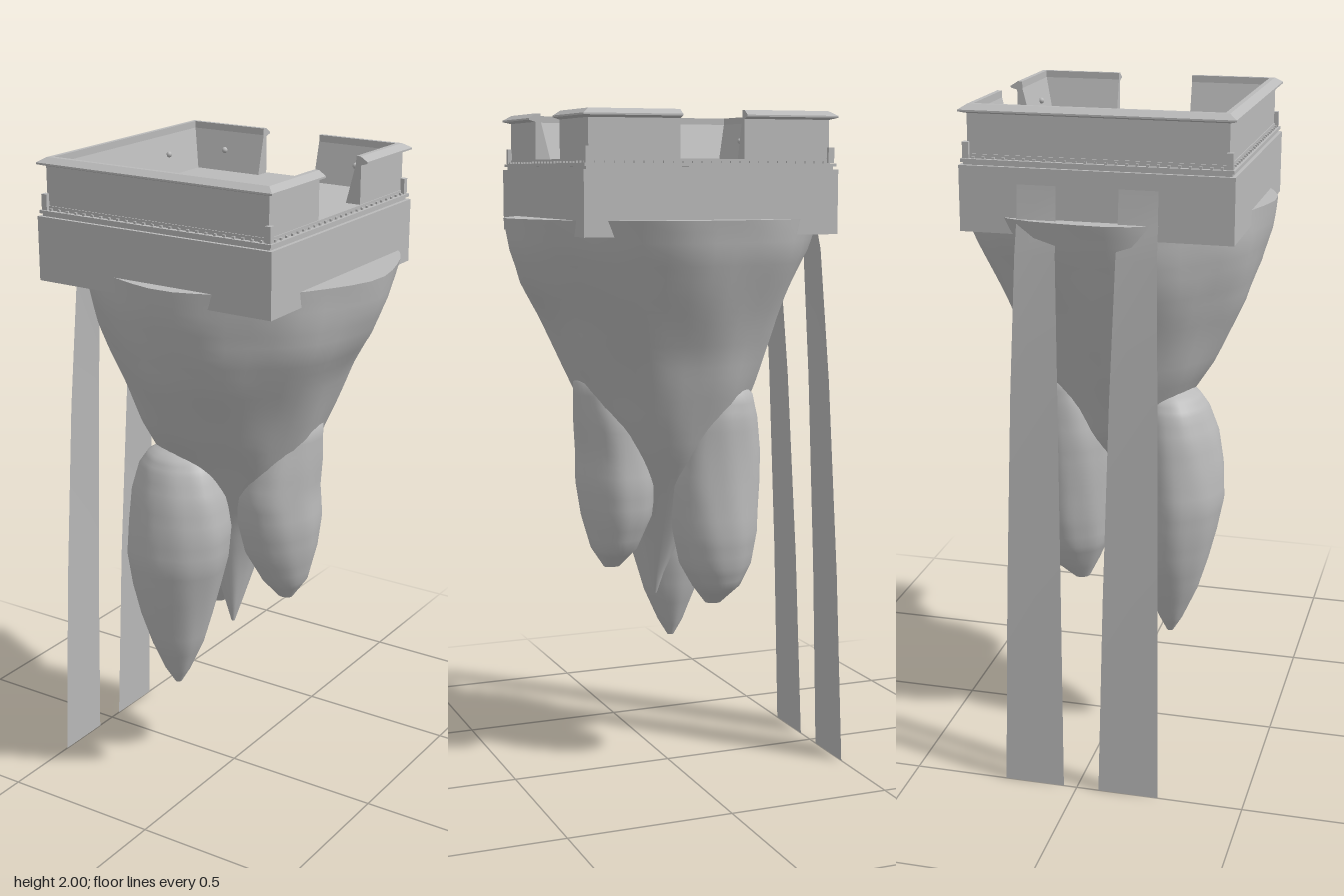
import * as THREE from 'three';

const CZ = 0.033; // the square platform sits slightly forward
const HALF = 0.387;

const stone = new THREE.MeshStandardMaterial({ color: 0xbababa });
stone.name = 'grey stone';
const sheet = new THREE.MeshStandardMaterial({ color: 0xbababa, side: THREE.DoubleSide });
sheet.name = 'grey water';

function add(parent, name, geometry, x = 0, y = 0, z = 0, material = stone) {
  const mesh = new THREE.Mesh(geometry, material);
  mesh.name = name;
  mesh.position.set(x, y, z);
  parent.add(mesh);
  return mesh;
}

// Lumpy closed body through oval rings given as [y, xMin, xMax, zMin, zMax], top to bottom
function rockGeometry(rings, bump, phase) {
  const SIDES = 40, STEPS = 3, pos = [], index = [];
  const rows = [];
  for (let i = 0; i < rings.length - 1; i++) {
    for (let s = 0; s < STEPS; s++) {
      rows.push(rings[i].map((v, k) => THREE.MathUtils.lerp(v, rings[i + 1][k], s / STEPS)));
    }
  }
  rows.push(rings[rings.length - 1]);
  const ring = ([y, x0, x1, z0, z1]) => {
    for (let j = 0; j < SIDES; j++) {
      const a = (j / SIDES) * Math.PI * 2;
      const r = 1 + bump * (Math.sin(5 * a + 4 * y + phase) + 0.7 * Math.sin(9 * a - 11 * y + phase)
        + 0.5 * Math.sin(3 * a + 17 * y));
      pos.push((x0 + x1) / 2 + (x1 - x0) / 2 * r * Math.cos(a), y, (z0 + z1) / 2 + (z1 - z0) / 2 * r * Math.sin(a));
    }
  };
  rows.forEach(ring);
  for (let i = 0; i < rows.length - 1; i++) {
    for (let j = 0; j < SIDES; j++) {
      const k = (j + 1) % SIDES, a = i * SIDES + j, b = i * SIDES + k;
      index.push(a, b, a + SIDES, b, b + SIDES, a + SIDES);
    }
  }
  // flat lids with their own vertices
  [[rows[0], true], [rows[rows.length - 1], false]].forEach(([row, up]) => {
    const start = pos.length / 3, centre = start + SIDES;
    ring(row);
    pos.push((row[1] + row[2]) / 2, row[0], (row[3] + row[4]) / 2);
    for (let j = 0; j < SIDES; j++) {
      const a = start + j, b = start + (j + 1) % SIDES;
      index.push(centre, up ? b : a, up ? a : b);
    }
  });
  const g = new THREE.BufferGeometry();
  g.setAttribute('position', new THREE.Float32BufferAttribute(pos, 3));
  g.setIndex(index);
  g.computeVertexNormals();
  return g;
}

// Parapet cross-section: distance outward, height
const parapetShape = new THREE.Shape([
  [0.318, 1.855], [0.366, 1.855], [0.366, 1.975], [0.386, 1.981], [0.386, 1.986],
  [0.364, 2.0], [0.35, 2.0], [0.35, 1.98],
].map(([d, y]) => new THREE.Vector2(d, y)));

// One run of parapet; an end left null is mitred at the corner
function parapet(t0, t1) {
  const g = new THREE.ExtrudeGeometry(parapetShape, { depth: 1, bevelEnabled: false });
  const p = g.attributes.position;
  for (let i = 0; i < p.count; i++) {
    const d = p.getX(i);
    p.setZ(i, p.getZ(i) < 0.5 ? (t0 ?? -d) : (t1 ?? d));
  }
  g.computeVertexNormals();
  return g;
}

// Falling ribbon that widens and drifts outward on the way down
function waterfallGeometry() {
  const path = [[1.79, -0.392, 0.055], [1.69, -0.4, 0.056], [1.6, -0.418, 0.058], [1.2, -0.447, 0.069],
    [0.6, -0.478, 0.081], [0, -0.5, 0.09]];
  const g = new THREE.PlaneGeometry(1, 1, 1, path.length - 1);
  const p = g.attributes.position;
  for (let i = 0; i < p.count; i++) {
    const [y, x, w] = path[Math.floor(i / 2)];
    p.setXYZ(i, x, y, i % 2 ? w : -w);
  }
  g.computeVertexNormals();
  return g;
}

export function createModel() {
  const model = new THREE.Group();
  model.name = 'floatingRockPlatform';

  // Hanging rock
  const rock = new THREE.Group();
  rock.name = 'rock';
  model.add(rock);
  add(rock, 'mainRock', rockGeometry([
    [1.695, -0.44, 0.49, -0.455, 0.453], [1.6, -0.42, 0.47, -0.43, 0.443], [1.5, -0.385, 0.435, -0.385, 0.42],
    [1.4, -0.345, 0.38, -0.34, 0.385], [1.3, -0.31, 0.335, -0.295, 0.335], [1.2, -0.275, 0.29, -0.26, 0.29],
    [1.1, -0.235, 0.25, -0.22, 0.23], [1.0, -0.2, 0.2, -0.18, 0.18], [0.9, -0.14, 0.15, -0.13, 0.13],
    [0.75, -0.06, 0.09, -0.06, 0.1], [0.6, 0, 0.05, 0.01, 0.07], [0.53, 0.02, 0.03, 0.04, 0.05],
  ], 0.013, 0.5));
  add(rock, 'frontLobe', rockGeometry([
    [1.15, -0.12, -0.02, 0.15, 0.21], [1.12, -0.17, 0.03, 0.1, 0.27], [1.08, -0.195, 0.055, 0.09, 0.297],
    [1.0, -0.215, 0.085, 0.08, 0.325], [0.9, -0.225, 0.1, 0.07, 0.342], [0.8, -0.23, 0.09, 0.07, 0.348],
    [0.7, -0.22, 0.06, 0.075, 0.33], [0.6, -0.2, 0.03, 0.09, 0.305], [0.5, -0.165, 0, 0.115, 0.275],
    [0.4, -0.125, -0.045, 0.155, 0.23], [0.35, -0.095, -0.075, 0.18, 0.2],
  ], 0.01, 2));
  add(rock, 'sideLobe', rockGeometry([
    [1.25, 0.16, 0.24, -0.05, 0.06], [1.21, 0.1, 0.297, -0.1, 0.11], [1.1, 0.06, 0.293, -0.135, 0.15],
    [1.0, 0.05, 0.285, -0.14, 0.168], [0.9, 0.05, 0.288, -0.145, 0.155], [0.8, 0.065, 0.275, -0.13, 0.125],
    [0.7, 0.11, 0.25, -0.09, 0.07], [0.64, 0.16, 0.21, -0.02, 0.015],
  ], 0.01, 4));
  add(rock, 'backLobe', rockGeometry([
    [1.22, -0.17, -0.07, -0.18, -0.08], [1.17, -0.22, -0.03, -0.215, -0.03], [1.1, -0.238, 0, -0.228, 0],
    [1.0, -0.25, 0.02, -0.228, 0.02], [0.9, -0.25, 0.03, -0.23, 0.02], [0.75, -0.24, 0.02, -0.235, 0.01],
    [0.65, -0.22, 0, -0.22, 0], [0.58, -0.185, -0.04, -0.19, -0.03], [0.52, -0.14, -0.09, -0.11, -0.06],
  ], 0.012, 1));

  // Square platform with a stepped ledge; the top step is the floor
  const platform = new THREE.Group();
  platform.name = 'platform';
  platform.position.z = CZ;
  model.add(platform);
  const step = (name, half, y0, y1) =>
    add(platform, name, new THREE.BoxGeometry(half * 2, y1 - y0, half * 2), 0, (y0 + y1) / 2, 0);
  step('foundation', HALF, 1.65, 1.835);
  step('ledgeGroove', 0.376, 1.835, 1.843);
  step('ledge', 0.383, 1.843, 1.852);
  step('floor', 0.369, 1.852, 1.864);

  // Parapet on four sides with openings on the right and at the back
  const sides = [
    { name: 'right', turn: 0, runs: [[null, -0.118], [0.112, null]], lamps: [] },
    { name: 'back', turn: Math.PI / 2, runs: [[null, -0.1], [0.095, null]], lamps: [-0.23, 0.23] },
    { name: 'left', turn: Math.PI, runs: [[null, null]], lamps: [-0.18, 0.18] },
    { name: 'front', turn: -Math.PI / 2, runs: [[null, null]], lamps: [-0.18, 0.18] },
  ];
  for (const { name, turn, runs, lamps } of sides) {
    const side = new THREE.Group();
    side.name = name + 'Parapet';
    side.rotation.y = turn;
    platform.add(side);
    runs.forEach(([t0, t1]) => add(side, 'parapetWall', parapet(t0, t1)));
    lamps.forEach((t) => add(side, 'lampKnob', new THREE.SphereGeometry(0.009, 10, 8), 0.332, 1.925, t));
    // row of small studs on the ledge
    for (let i = -12; i <= 12; i++) {
      add(side, 'stud', new THREE.BoxGeometry(0.006, 0.006, 0.008), 0.374, 1.855, i * 0.029);
    }
    // corner post
    add(side, 'cornerPost', new THREE.BoxGeometry(0.018, 0.045, 0.018), 0.369, 1.875, 0.369);
  }

  // Two waterfalls off the left side
  [-0.13, 0.157].forEach((z) => add(model, 'waterfall', waterfallGeometry(), 0, 0, z, sheet));

  return model;
}
